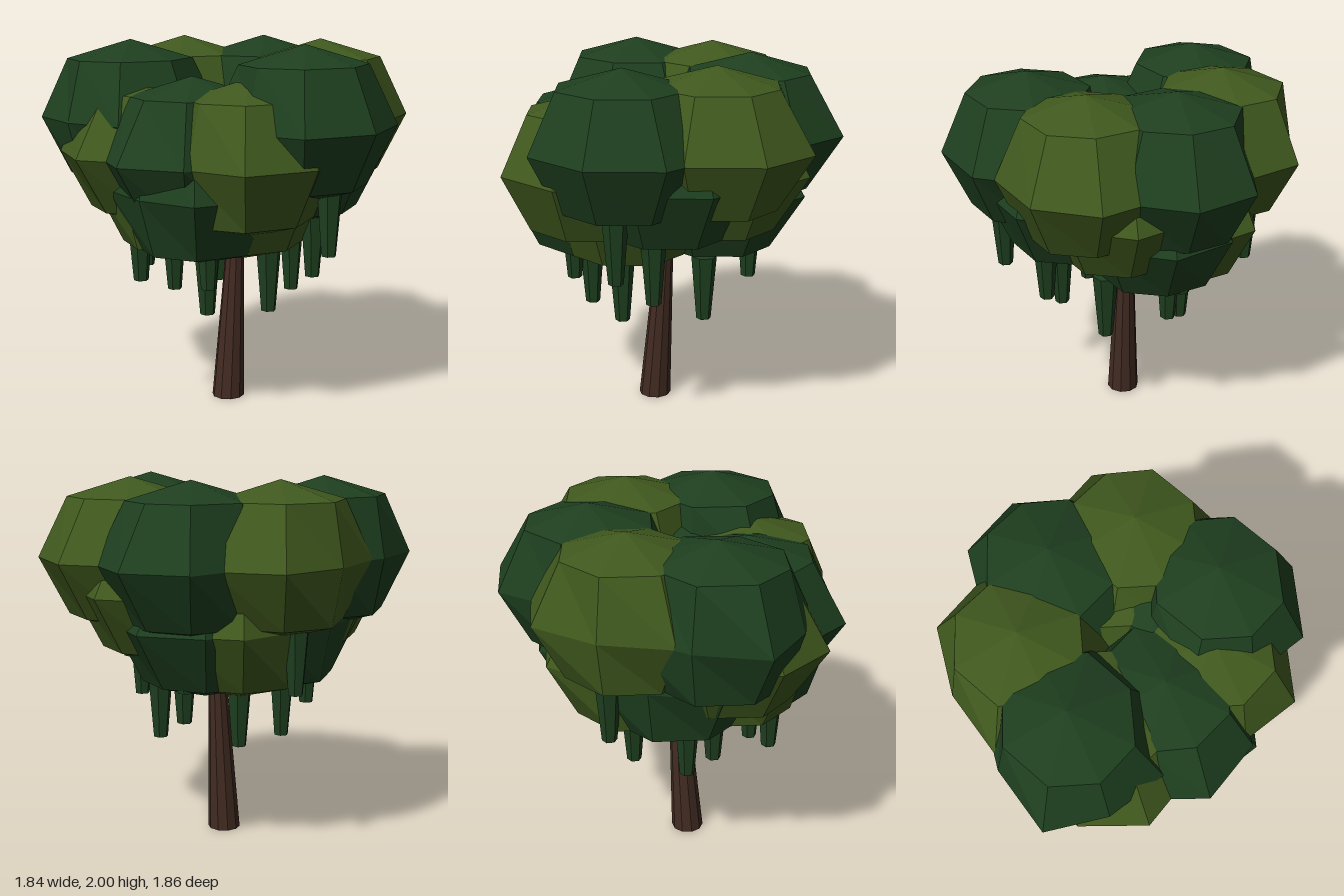
import * as THREE from 'three';

// One leaf clump: rings of eight [x, z] points between two poles, slightly lopsided.
function clumpGeometry() {
  const equator = [[0.52, 0], [0.37, 0.32], [0, 0.46], [-0.37, 0.32], [-0.44, 0], [-0.37, -0.32], [0, -0.39], [0.37, -0.32]];
  const cap = [[0.33, 0], [0.25, 0.22], [0, 0.32], [-0.26, 0.22], [-0.35, 0], [-0.26, -0.22], [0, -0.33], [0.25, -0.22]];
  const pos = [0, 0.415, 0];
  const addRing = (ring, y) => ring.forEach(([x, z]) => pos.push(x, y, z));
  addRing(cap, 0.315);
  addRing(equator, 0);
  addRing(cap, -0.305);
  pos.push(0, -0.4, 0);
  const index = [];
  for (let i = 0; i < 8; i++) {
    const j = (i + 1) % 8;
    index.push(0, 1 + j, 1 + i);
    for (let r = 0; r < 2; r++) {
      const a = 1 + r * 8 + i, b = 1 + r * 8 + j;
      index.push(a, b, a + 8, b, b + 8, a + 8);
    }
    index.push(17 + i, 17 + j, 25);
  }
  const g = new THREE.BufferGeometry();
  g.setAttribute('position', new THREE.Float32BufferAttribute(pos, 3));
  g.setIndex(index);
  const flat = g.toNonIndexed();
  flat.computeVertexNormals();
  return flat;
}

function material(name, color) {
  const m = new THREE.MeshStandardMaterial({ color, flatShading: true });
  m.name = name;
  return m;
}

export function createModel() {
  const dark = material('dark green leaves', 0x1e3f1f);
  const light = material('olive leaves', 0x40591e);
  const bark = material('brown bark', 0x422b22);
  const tree = new THREE.Group();
  tree.name = 'tree';

  // Leaning, tapered trunk
  const trunkGeo = new THREE.CylinderGeometry(0.03, 0.09, 1.3, 10);
  trunkGeo.translate(0, 0.65, 0);
  const p = trunkGeo.attributes.position;
  for (let i = 0; i < p.count; i++) p.setX(i, p.getX(i) + p.getY(i) * 0.068);
  trunkGeo.computeVertexNormals();
  const trunk = new THREE.Mesh(trunkGeo, bark);
  trunk.name = 'trunk';
  trunk.position.set(-0.085, 0, -0.048);
  tree.add(trunk);

  // Crown of overlapping clumps in three layers: [x, z, colour, turn]
  const crown = new THREE.Group();
  crown.name = 'crown';
  const clump = clumpGeometry();
  const layers = [
    ['upperClump', 1.585, [
      [-0.045, 0.465, dark, 0], [0.37, 0.22, light, 0], [0.4, -0.23, dark, 0],
      [0.07, -0.54, light, 0], [-0.38, -0.49, dark, 0]]],
    ['middleClump', 1.42, [
      [-0.4, 0.01, dark, Math.PI], [-0.29, 0.31, light, 0], [0.3, 0.04, light, 0],
      [0.12, 0.27, dark, 0], [-0.39, -0.32, light, Math.PI]]],
    ['lowerClump', 1.25, [
      [0.22, -0.17, dark, 0], [0.11, -0.32, light, 0], [-0.38, 0.06, dark, 0],
      [-0.17, 0.14, light, 0], [-0.33, -0.12, light, 0], [-0.11, -0.35, dark, 0]]],
  ];
  for (const [name, y, spots] of layers) {
    spots.forEach(([x, z, mat, turn], i) => {
      const m = new THREE.Mesh(clump, mat);
      m.name = name + (i + 1);
      m.position.set(x, y, z);
      m.rotation.y = turn;
      crown.add(m);
    });
  }
  tree.add(crown);

  // Hanging vines: [x, z, height of lower tip]
  const vines = new THREE.Group();
  vines.name = 'vines';
  const vineGeo = new THREE.CylinderGeometry(0.07, 0.04, 0.36, 6);
  vineGeo.translate(0, 0.18, 0);
  const spots = [
    [-0.4, 0.11, 0.585], [-0.19, -0.37, 0.585], [0.13, -0.33, 0.585], [0.27, 0.11, 0.585], [-0.13, 0.3, 0.585],
    [-0.59, -0.2, 0.75], [-0.47, 0.19, 0.75], [-0.35, -0.42, 0.75], [0.1, 0.41, 0.75], [0.42, -0.2, 0.75],
    [-0.02, 0.62, 0.92], [0.48, -0.26, 0.93], [0.12, -0.69, 0.92], [-0.62, 0.33, 1.13],
  ];
  spots.forEach(([x, z, y], i) => {
    const v = new THREE.Mesh(vineGeo, dark);
    v.name = 'vine' + (i + 1);
    v.position.set(x, y, z);
    vines.add(v);
  });
  tree.add(vines);
  return tree;
}
